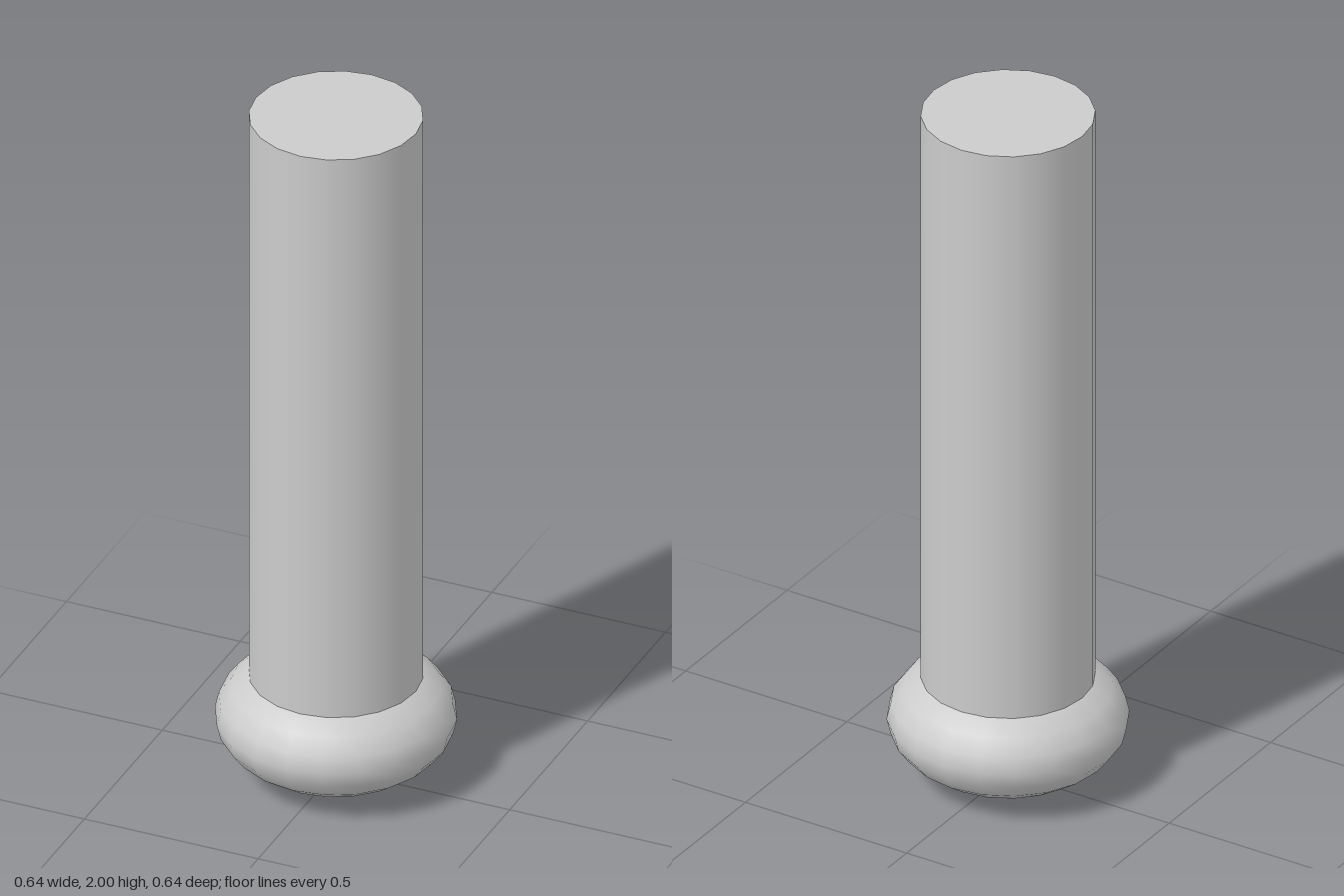
import * as THREE from 'three';

const SIDES = 20;
const HEIGHT = 2;
const HEAD_RADIUS = 0.32;
const HEAD_HALF_HEIGHT = 0.175;
const SHAFT_RADIUS = 0.23;

export function createModel() {
  const group = new THREE.Group();
  group.name = 'roundHeadedPin';
  const material = new THREE.MeshStandardMaterial({ color: 0xcccccc });

  // Flattened round head at the foot
  const headGeometry = new THREE.SphereGeometry(HEAD_RADIUS, SIDES, 12);
  headGeometry.scale(1, HEAD_HALF_HEIGHT / HEAD_RADIUS, 1);
  const head = new THREE.Mesh(headGeometry, material);
  head.name = 'head';
  head.position.y = HEAD_HALF_HEIGHT;

  // Straight shaft rising from the middle of the head
  const length = HEIGHT - HEAD_HALF_HEIGHT;
  const shaft = new THREE.Mesh(
    new THREE.CylinderGeometry(SHAFT_RADIUS, SHAFT_RADIUS, length, SIDES),
    material
  );
  shaft.name = 'shaft';
  shaft.position.y = HEIGHT - length / 2;

  group.add(head, shaft);
  return group;
}
